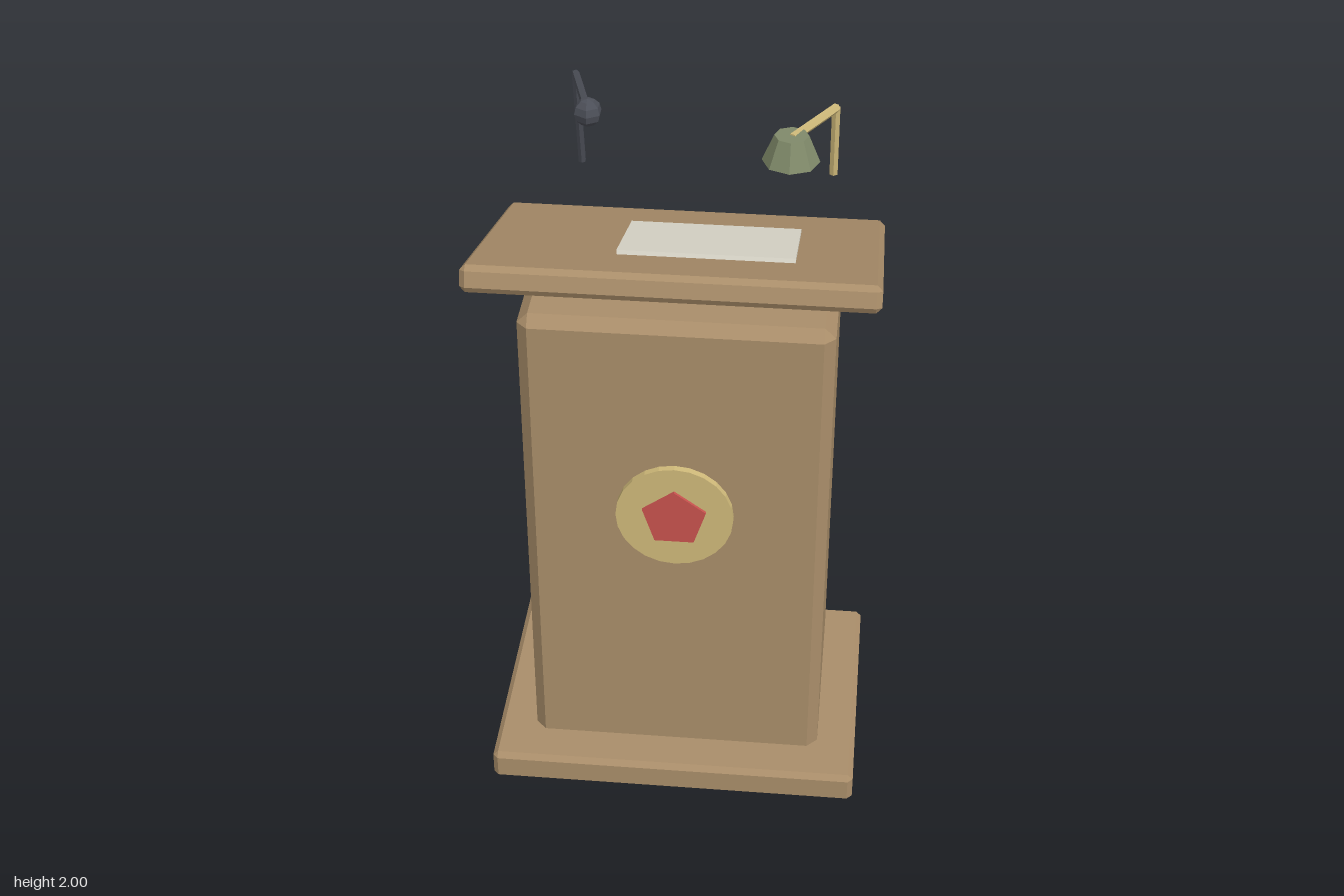
import * as THREE from 'three';
import { ConvexGeometry } from 'three/addons/geometries/ConvexGeometry.js';

const material = (name, color) => {
  const m = new THREE.MeshStandardMaterial({ color, flatShading: true });
  m.name = name;
  return m;
};

// Box with bevelled edges and corners
function bevelBox(w, h, d, c) {
  const x = w / 2, y = h / 2, z = d / 2, pts = [];
  for (const i of [-1, 1]) for (const j of [-1, 1]) for (const k of [-1, 1]) {
    pts.push(
      new THREE.Vector3(i * x, j * (y - c), k * (z - c)),
      new THREE.Vector3(i * (x - c), j * y, k * (z - c)),
      new THREE.Vector3(i * (x - c), j * (y - c), k * z));
  }
  return new ConvexGeometry(pts);
}

export function createModel() {
  const wood = material('wood', 0xaa8e6a);
  const brass = material('brass', 0xd0ba7a);
  const red = material('red', 0xc8524e);
  const paperWhite = material('paper white', 0xe0dccf);
  const green = material('lamp green', 0x808a6a);
  const dark = material('dark metal', 0x4c4f58);

  const model = new THREE.Group();
  model.name = 'lectern';
  const add = (name, geometry, mat, x, y, z, parent = model) => {
    const mesh = new THREE.Mesh(geometry, mat);
    mesh.name = name;
    mesh.position.set(x, y, z);
    parent.add(mesh);
    return mesh;
  };

  // Straight rod between two points
  const rod = (name, a, b, r, mat) => {
    const p = new THREE.Vector3(...a), q = new THREE.Vector3(...b);
    const dir = q.clone().sub(p), mid = p.clone().add(q).multiplyScalar(0.5);
    const mesh = add(name, new THREE.CylinderGeometry(r, r, dir.length(), 6), mat, mid.x, mid.y, mid.z);
    mesh.quaternion.setFromUnitVectors(new THREE.Vector3(0, 1, 0), dir.normalize());
  };

  // Plinth and column
  add('base', bevelBox(1.0, 0.09, 0.72, 0.014), wood, 0, 0.045, -0.007);
  add('column', bevelBox(0.79, 1.41, 0.575, 0.028), wood, 0, 0.755, -0.052);

  // Sloping desk with a sheet of paper
  const desk = new THREE.Group();
  desk.name = 'desk';
  desk.position.set(0, 1.535, 0.0175);
  desk.rotation.x = -0.307;
  model.add(desk);
  add('deskTop', bevelBox(1.0, 0.068, 0.72, 0.014), wood, 0, 0, 0, desk);
  add('paper', new THREE.BoxGeometry(0.435, 0.014, 0.322), paperWhite, 0.07, 0.038, 0.011, desk);

  // Round emblem with a pentagon on the front
  const disc = add('emblemDisc', new THREE.CylinderGeometry(0.153, 0.153, 0.03, 24), brass, 0, 0.885, 0.239);
  disc.rotation.x = Math.PI / 2;
  const pentagon = add('emblemPentagon', new THREE.CylinderGeometry(0.087, 0.087, 0.009, 5), red, 0, 0.883, 0.2575);
  pentagon.rotation.set(Math.PI / 2, Math.PI, 0);

  // Microphone on a bent stem
  const micBend = [-0.29, 1.912, -0.2], micEnd = [-0.217, 1.967, 0.106];
  rod('microphoneStem', [-0.29, 1.63, -0.268], micBend, 0.01, dark);
  rod('microphoneArm', micBend, micEnd, 0.01, dark);
  add('microphoneHead', new THREE.SphereGeometry(0.035, 6, 6).rotateY(Math.PI / 6), dark, ...micEnd);

  // Reading lamp
  const lampBend = [0.36, 1.826, -0.245];
  rod('lampStem', [0.36, 1.627, -0.268], lampBend, 0.012, brass);
  rod('lampArm', lampBend, [0.26, 1.838, -0.052], 0.012, brass);
  add('lampShade', new THREE.CylinderGeometry(0.043, 0.072, 0.07, 8), green, 0.259, 1.81, -0.054);

  return model;
}
